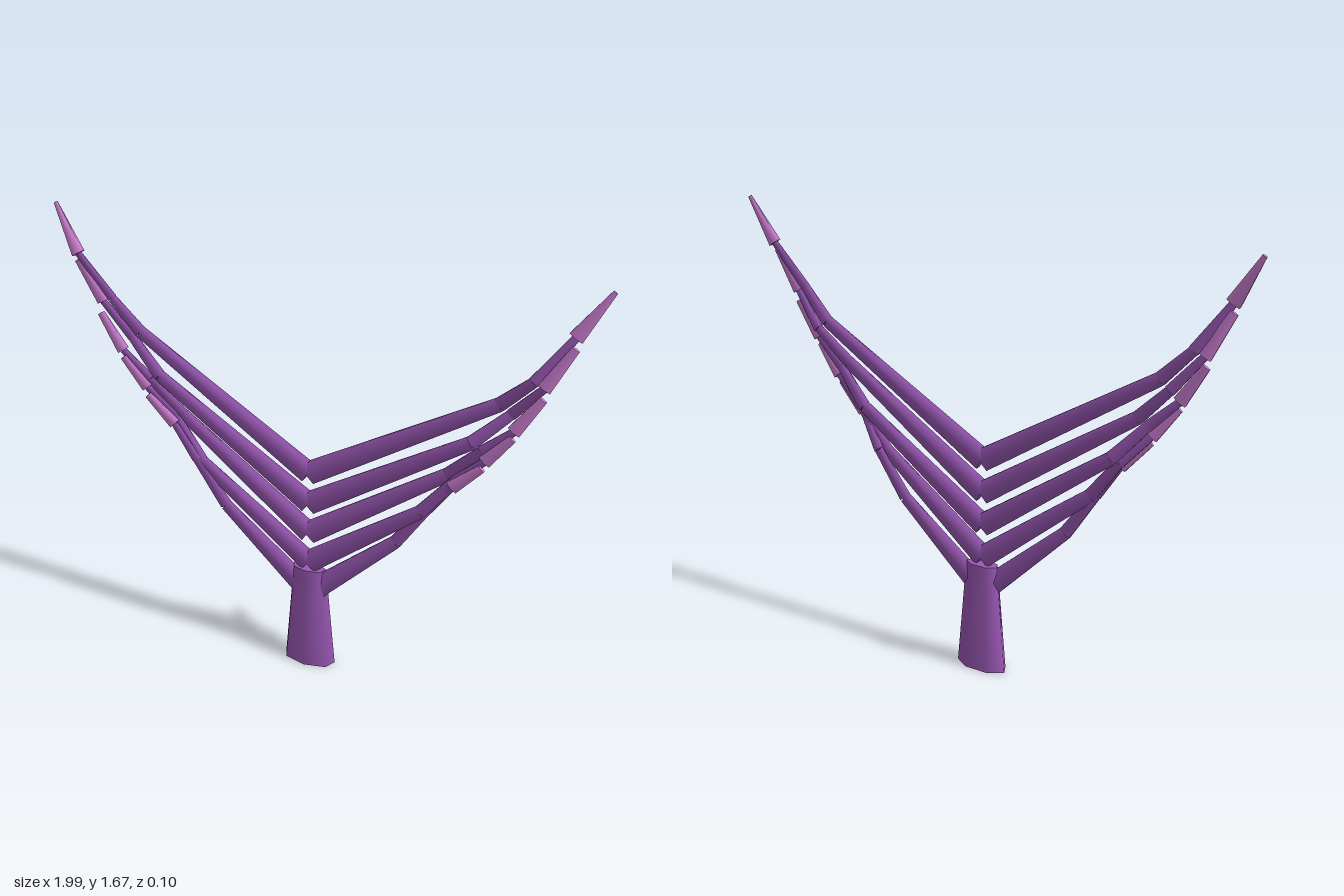
import * as THREE from 'three';

const FLAT = 0.45; // depth of every limb relative to its width
const UP = new THREE.Vector3(0, 1, 0);

// Flattened tapered limb from a to b
function limb(name, a, b, r0, r1, material) {
  const dir = new THREE.Vector3().subVectors(b, a);
  const geo = new THREE.CylinderGeometry(r1, r0, dir.length(), 6);
  geo.scale(1, 1, FLAT);
  const mesh = new THREE.Mesh(geo, material);
  mesh.name = name;
  mesh.position.addVectors(a, b).multiplyScalar(0.5);
  mesh.quaternion.setFromUnitVectors(UP, dir.normalize());
  return mesh;
}

export function createModel() {
  const model = new THREE.Group();
  model.name = 'seaFan';
  const purple = new THREE.MeshStandardMaterial({ color: 0x9b59b6 });
  const pink = new THREE.MeshStandardMaterial({ color: 0xd684dc });

  // Stem: flattened tapering trunk
  const stemGeo = new THREE.CylinderGeometry(0.067, 0.105, 0.42, 7);
  stemGeo.scale(1, 1, 0.48);
  const stem = new THREE.Mesh(stemGeo, purple);
  stem.name = 'stem';
  stem.position.set(0, 0.21, -0.003);
  model.add(stem);

  // Joints of each branch (x, y), from the top pair down
  const branches = [
    [[0, 0.822], [0.67, 1.235], [0.78, 1.345], [0.89, 1.505], [0.99, 1.668]],
    [[0, 0.697], [0.59, 1.085], [0.71, 1.205], [0.815, 1.33], [0.898, 1.478]],
    [[0, 0.572], [0.51, 0.935], [0.63, 1.065], [0.732, 1.162], [0.816, 1.292]],
    [[0, 0.445], [0.425, 0.775], [0.54, 0.925], [0.642, 1.03], [0.73, 1.138]],
    [[0.03, 0.335], [0.33, 0.612], [0.445, 0.78], [0.535, 0.905], [0.636, 1.005]],
  ];
  // Small depth sway at the joints: left side, right side
  const sway = [
    [[0, -0.01, 0.008, -0.024, -0.033], [0, -0.012, -0.012, 0.014, -0.02]],
    [[0, 0.01, -0.015, 0.01, 0], [0, 0.006, -0.018, -0.006, 0.006]],
    [[0, -0.012, 0.012, 0.016, 0.01], [0, -0.015, 0.006, 0.014, 0.012]],
    [[0, 0.008, 0.006, 0.014, 0.02], [0, 0.012, -0.01, 0.01, 0.018]],
    [[0, -0.016, -0.018, 0.014, 0.02], [0, 0.014, 0.016, 0.012, 0.02]],
  ];
  const names = ['mainBranch', 'midBranch', 'outerBranch', 'tip'];
  const radii = [[0.047, 0.027], [0.027, 0.02], [0.022, 0.015]];

  branches.forEach((joints, i) => {
    [1, -1].forEach((side, s) => {
      const group = new THREE.Group();
      group.name = (side > 0 ? 'left' : 'right') + 'Branch' + (i + 1);
      const points = joints.map(([x, y], k) => new THREE.Vector3(side * x, y, sway[i][s][k]));
      for (let k = 0; k < 4; k++) {
        const [r0, r1] = k < 3 ? radii[k] : i === 0 ? [0.029, 0.009] : [0.027, 0.016];
        group.add(limb(names[k], points[k], points[k + 1], r0, r1, k < 3 ? purple : pink));
      }
      model.add(group);
    });
  });
  return model;
}
